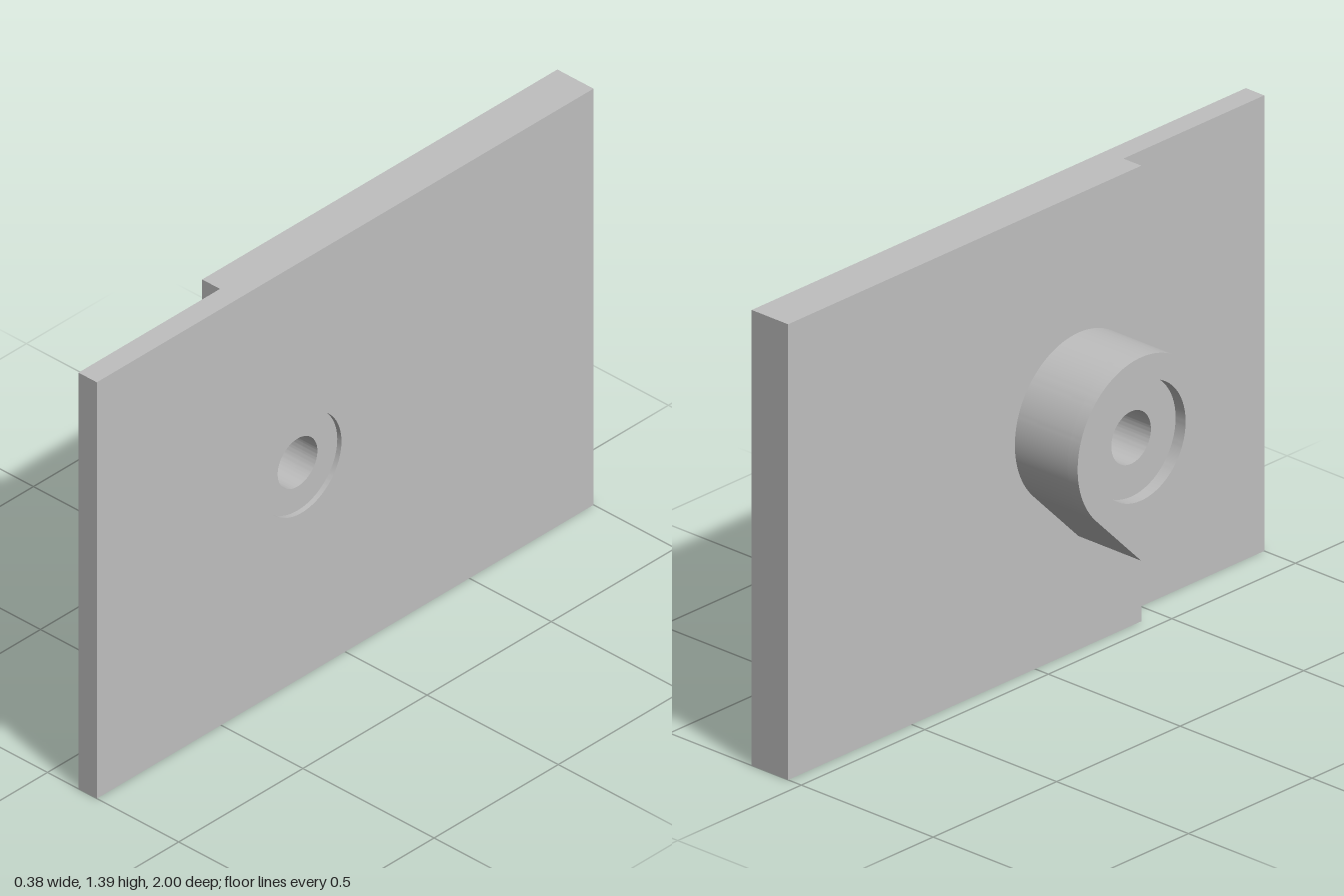
import * as THREE from 'three';
import { toCreasedNormals } from 'three/addons/utils/BufferGeometryUtils.js';

const HEIGHT = 1.39;
const CY = 0.71, CZ = 0.175;      // bore axis, running along x
const BOSS_R = 0.257, BORE_R = 0.08;

export function createModel() {
  const grey = new THREE.MeshStandardMaterial({ color: 0xbfbfbf });
  grey.name = 'grey';

  // Outlines are drawn in (-z, y) and extruded along x.
  const rectangle = (zBack, zFront) => new THREE.Shape([
    new THREE.Vector2(-zFront, 0), new THREE.Vector2(-zBack, 0),
    new THREE.Vector2(-zBack, HEIGHT), new THREE.Vector2(-zFront, HEIGHT),
  ]);

  // Round on top, with 45 degree tangents meeting in a point below.
  const teardrop = () => {
    const s = new THREE.Shape();
    s.absarc(-CZ, CY, BOSS_R, -Math.PI / 4, Math.PI * 1.25, false);
    s.lineTo(-CZ, CY - BOSS_R * Math.SQRT2);
    s.closePath();
    return s;
  };

  const layer = (name, shape, holeR, x0, x1) => {
    const hole = new THREE.Path();
    hole.absarc(-CZ, CY, holeR, 0, Math.PI * 2, true);
    shape.holes.push(hole);
    let g = new THREE.ExtrudeGeometry(shape, { depth: x1 - x0, bevelEnabled: false, curveSegments: 64 });
    g.translate(0, 0, x0);
    g.rotateY(Math.PI / 2);
    g.clearGroups();
    g = toCreasedNormals(g, 0.5);
    const mesh = new THREE.Mesh(g, grey);
    mesh.name = name;
    return mesh;
  };

  // Stepped plate: thick at the back, thin at the front, recessed around the bore.
  const plate = new THREE.Group();
  plate.name = 'plate';
  plate.add(
    layer('thickSection', rectangle(-1, 0.43), BORE_R, 0.05, 0.118),
    layer('fullPanel', rectangle(-1, 1), BORE_R, 0.118, 0.172),
    layer('recessedPanelFace', rectangle(-1, 1), 0.16, 0.172, 0.188),
  );

  // Teardrop boss with a counterbore in its outer end.
  const boss = new THREE.Group();
  boss.name = 'boss';
  boss.add(
    layer('bossBody', teardrop(), BORE_R, -0.15, 0.05),
    layer('bossCounterbore', teardrop(), 0.18, -0.188, -0.15),
  );

  const model = new THREE.Group();
  model.name = 'bracketPlate';
  model.add(plate, boss);
  return model;
}
